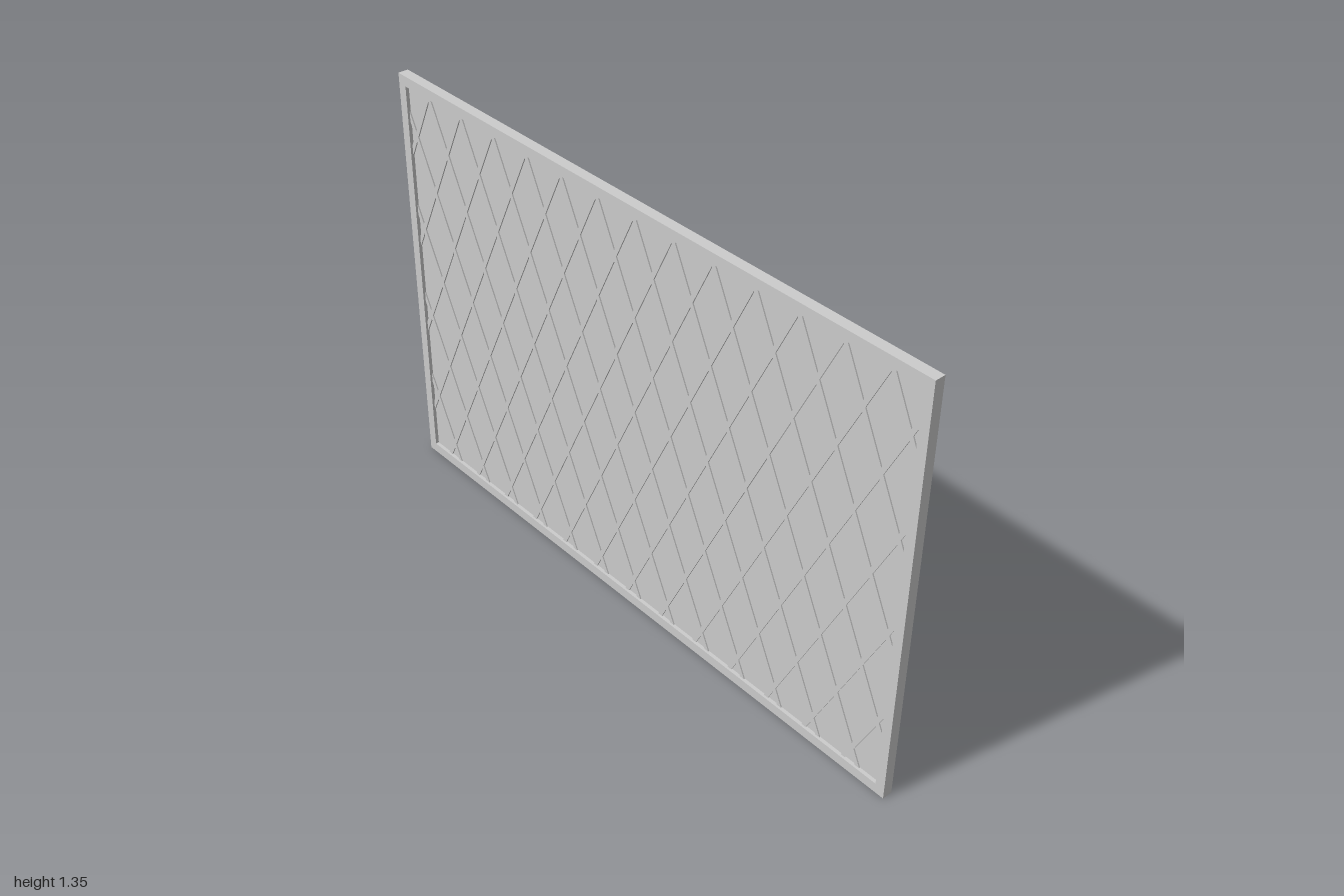
import * as THREE from 'three';

const HEIGHT = 1.346, HALF = 1, DEPTH = 0.032, BORDER = 0.03;
const PANE_DEPTH = 0.01, BAR_DEPTH = 0.018, BAR_WIDTH = 0.014;
const ROW = 0.3077, PITCH = 0.1453, NODE_Y = 1.009; // lattice spacing and a crossing on z = 0

const material = new THREE.MeshStandardMaterial({ color: 0xcccccc, flatShading: true });

function addMesh(parent, geometry, name) {
  const mesh = new THREE.Mesh(geometry, material);
  mesh.name = name;
  parent.add(mesh);
  return mesh;
}

// Closed rectangle path
function rectangle(path, z, y0, y1) {
  path.moveTo(-z, y0);
  path.lineTo(z, y0);
  path.lineTo(z, y1);
  path.lineTo(-z, y1);
  path.closePath();
  return path;
}

export function createModel() {
  const model = new THREE.Group();
  model.name = 'latticeWindow';

  // Outer frame with a rectangular opening
  const outline = rectangle(new THREE.Shape(), HALF, 0, HEIGHT);
  outline.holes.push(rectangle(new THREE.Path(), HALF - BORDER, BORDER + 0.002, HEIGHT - BORDER - 0.002));
  const frame = new THREE.ExtrudeGeometry(outline, { depth: DEPTH, bevelEnabled: false });
  frame.translate(0, 0, -DEPTH / 2).rotateY(Math.PI / 2);
  addMesh(model, frame, 'frame');

  // Recessed pane, tucked into the frame
  const pane = new THREE.BoxGeometry(PANE_DEPTH, HEIGHT - BORDER, 2 * HALF - BORDER);
  addMesh(model, pane, 'pane').position.y = HEIGHT / 2;

  // Diagonal bars, clipped to the opening with their ends hidden in the frame
  const lattice = new THREE.Group();
  lattice.name = 'lattice';
  model.add(lattice);
  const edge = HALF - BORDER + 0.012, low = BORDER - 0.01, high = HEIGHT - low;
  const slope = ROW / PITCH;
  for (const side of [1, -1]) {
    for (let n = -12; n <= 12; n++) {
      // Height rises with t = side * z
      const base = NODE_Y + n * ROW;
      const t0 = Math.max(-edge, (low - base) / slope);
      const t1 = Math.min(edge, (high - base) / slope);
      if (t1 - t0 < 0.01) continue;
      const length = (t1 - t0) * Math.hypot(1, slope);
      const bar = addMesh(lattice, new THREE.BoxGeometry(BAR_DEPTH, length, BAR_WIDTH), 'latticeBar');
      const t = (t0 + t1) / 2;
      bar.position.set(0, base + slope * t, side * t);
      bar.rotation.x = side * Math.atan2(1, slope);
    }
  }
  return model;
}
